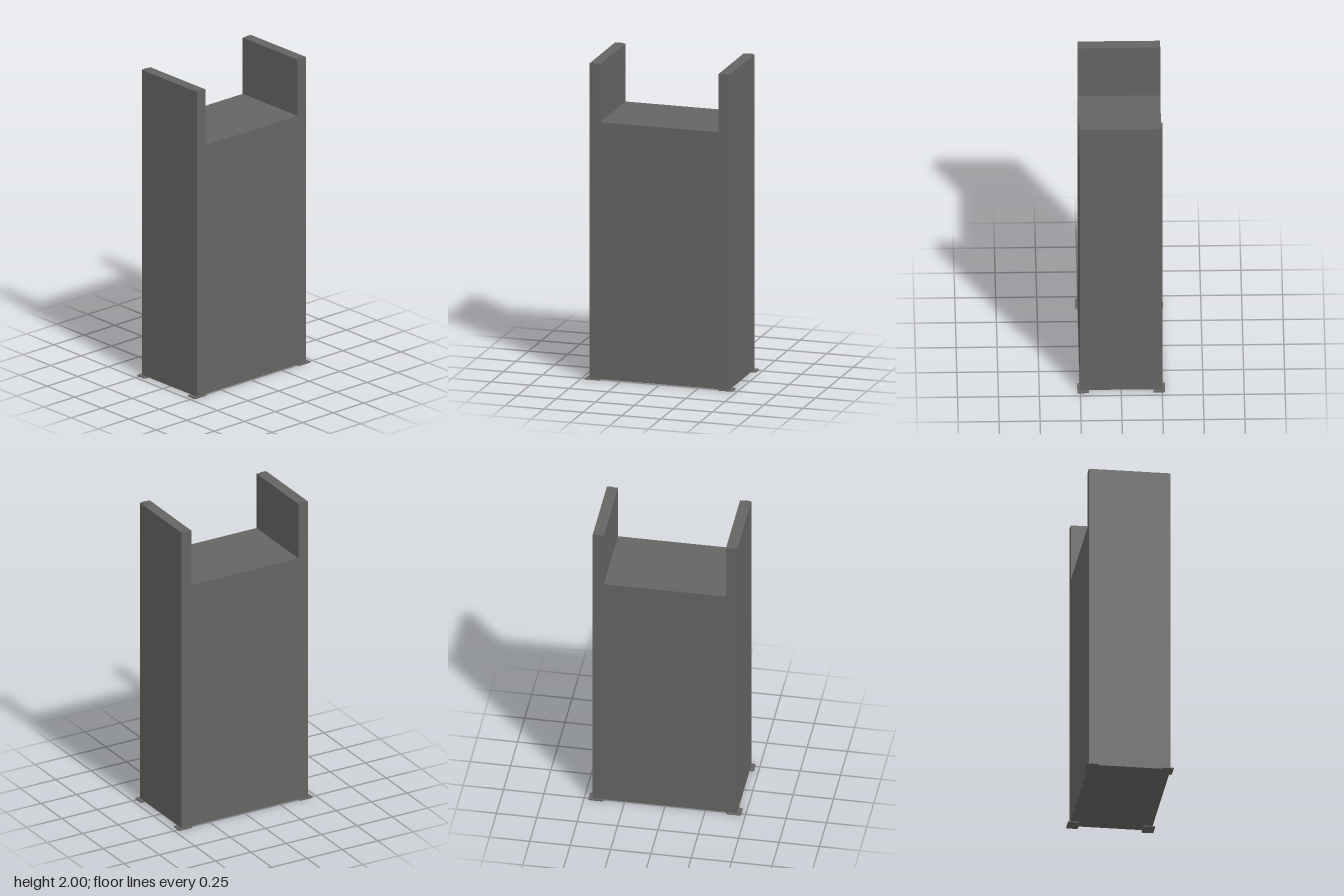
import * as THREE from 'three';

export function createModel() {
  const model = new THREE.Group();
  const steel = new THREE.MeshStandardMaterial({ color: 0x666462 });
  steel.name = 'dark grey steel';

  const add = (name, geometry, x, y, z) => {
    const mesh = new THREE.Mesh(geometry, steel);
    mesh.name = name;
    mesh.position.set(x, y, z);
    model.add(mesh);
  };

  // Horizontal plate with rounded corners, lying from y = 0 up to its thickness
  const roundedPlate = (w, d, r, thickness) => {
    const x = w / 2, y = d / 2;
    const s = new THREE.Shape();
    s.moveTo(-x + r, -y);
    s.lineTo(x - r, -y);
    s.absarc(x - r, -y + r, r, -Math.PI / 2, 0, false);
    s.lineTo(x, y - r);
    s.absarc(x - r, y - r, r, 0, Math.PI / 2, false);
    s.lineTo(-x + r, y);
    s.absarc(-x + r, y - r, r, Math.PI / 2, Math.PI, false);
    s.lineTo(-x, -y + r);
    s.absarc(-x + r, -y + r, r, Math.PI, Math.PI * 1.5, false);
    return new THREE.ExtrudeGeometry(s, { depth: thickness, bevelEnabled: false, curveSegments: 4 })
      .rotateX(-Math.PI / 2);
  };

  // U-shaped body: tall end walls either side of a lower block
  const profile = new THREE.Shape([
    [-0.447, 0.005], [0.447, 0.005], [0.447, 1.997], [0.378, 1.997],
    [0.378, 1.63], [-0.378, 1.63], [-0.378, 1.997], [-0.447, 1.997],
  ].map(([z, y]) => new THREE.Vector2(z, y)));
  const body = new THREE.ExtrudeGeometry(profile, { depth: 0.504, bevelEnabled: false });
  body.translate(0, 0, -0.252).rotateY(-Math.PI / 2);
  add('body', body, 0, 0, 0);

  // Foot plates below and small post caps on top, one of each per corner
  const foot = roundedPlate(0.072, 0.094, 0.008, 0.006);
  const cap = roundedPlate(0.036, 0.036, 0.005, 0.003);
  for (const sx of [-1, 1]) {
    for (const sz of [-1, 1]) {
      add('footPlate', foot, sx * 0.232, 0, sz * 0.426);
      add('postCap', cap, sx * 0.233, 1.997, sz * 0.42);
    }
  }
  return model;
}
